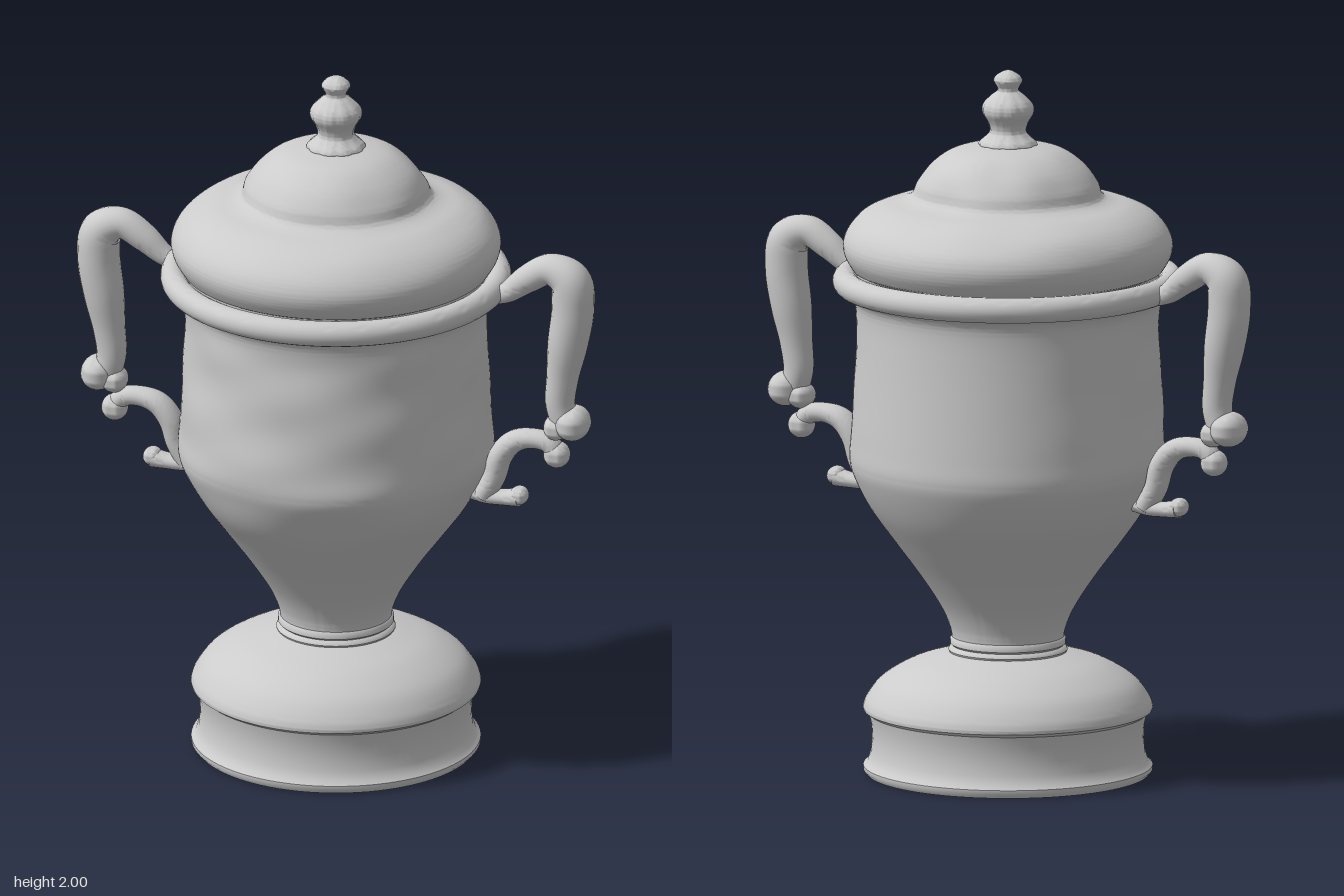
import * as THREE from 'three';
import { toCreasedNormals } from 'three/addons/utils/BufferGeometryUtils.js';

const material = new THREE.MeshStandardMaterial({ color: 0xcccccc });

function addMesh(parent, name, geometry, crease = 0.7) {
  const mesh = new THREE.Mesh(toCreasedNormals(geometry, crease), material);
  mesh.name = name;
  parent.add(mesh);
  return mesh;
}

const vectors = (points) => points.map(([x, y]) => new THREE.Vector2(x, y));
const smooth = (points, steps) => new THREE.SplineCurve(vectors(points)).getPoints(steps);

// Turned part; radial(angle, y, r) returns a factor for the radius
function turned(points, segments, radial) {
  const geometry = new THREE.LatheGeometry(points, segments);
  if (radial) {
    const p = geometry.attributes.position;
    for (let i = 0; i < p.count; i++) {
      const x = p.getX(i), z = p.getZ(i);
      const f = radial(Math.atan2(x, z), p.getY(i), Math.hypot(x, z));
      p.setX(i, x * f);
      p.setZ(i, z * f);
    }
  }
  return geometry;
}

// Soft unevenness of a worn, hand-modelled surface, periodic in the angle
const wobble = (a, y) =>
  Math.sin(3 * a + 9 * y) * Math.sin(15 * y + a) +
  0.6 * Math.sin(7 * a - 13 * y) * Math.cos(23 * y + 2 * a);

// Planar sweep through [x, y, thickness]; width is the z half-axis relative to thickness
function sweep(points, width, steps = 70, sides = 20) {
  const curve = new THREE.CatmullRomCurve3(points.map((p) => new THREE.Vector3(...p)));
  const positions = [], index = [];
  for (let i = 0; i <= steps + 2; i++) {
    const t = THREE.MathUtils.clamp((i - 1) / steps, 0, 1);
    const c = curve.getPoint(t), d = curve.getTangent(t);
    const length = Math.hypot(d.x, d.y);
    const r = i === 0 || i === steps + 2 ? 0 : c.z;
    for (let j = 0; j < sides; j++) {
      const a = (j / sides) * Math.PI * 2;
      const n = (r * Math.cos(a)) / length;
      positions.push(c.x - d.y * n, c.y + d.x * n, r * width * Math.sin(a));
      if (i < steps + 2) {
        const k = (j + 1) % sides, row = i * sides, next = row + sides;
        index.push(row + j, row + k, next + k, row + j, next + k, next + j);
      }
    }
  }
  const geometry = new THREE.BufferGeometry();
  geometry.setAttribute('position', new THREE.Float32BufferAttribute(positions, 3));
  geometry.setIndex(index);
  return geometry;
}

function ball(parent, name, x, y, r, depth) {
  const mesh = addMesh(parent, name, new THREE.SphereGeometry(r, 24, 16), 1.2);
  mesh.position.set(x, y, 0);
  mesh.scale.z = depth;
}

function createHandle() {
  const handle = new THREE.Group();
  // Upper arm, rising from the rim and hanging down
  addMesh(handle, 'handleArm', sweep([
    [0.45, 1.385, 0.022], [0.50, 1.405, 0.03], [0.56, 1.452, 0.04], [0.625, 1.487, 0.045],
    [0.683, 1.46, 0.058], [0.692, 1.38, 0.06], [0.677, 1.27, 0.057],
    [0.662, 1.17, 0.046], [0.655, 1.09, 0.042], [0.67, 1.03, 0.04],
  ], 1.06), 1.2);
  ball(handle, 'handleScrollEnd', 0.692, 1.035, 0.05, 1.35);
  ball(handle, 'handleScrollInner', 0.645, 1.018, 0.037, 1.4);
  // Lower C scroll and the foot against the bowl
  addMesh(handle, 'handleLowerScroll', sweep([
    [0.645, 0.93, 0.028], [0.625, 0.965, 0.028], [0.575, 0.975, 0.028], [0.52, 0.96, 0.032],
    [0.482, 0.915, 0.034], [0.463, 0.85, 0.032], [0.43, 0.79, 0.03],
  ], 1.2), 1.2);
  ball(handle, 'handleLowerCurl', 0.645, 0.935, 0.038, 1.1);
  addMesh(handle, 'handleFoot', sweep([
    [0.535, 0.795, 0.026], [0.49, 0.79, 0.022], [0.44, 0.79, 0.022], [0.38, 0.80, 0.02],
  ], 1.4, 20), 1.2);
  ball(handle, 'handleFootCurl', 0.535, 0.8, 0.027, 1.3);
  return handle;
}

export function createModel() {
  const model = new THREE.Group();
  model.name = 'lidded urn';

  // Pedestal: moulded foot, recessed band and domed top
  addMesh(model, 'pedestal', new THREE.LatheGeometry([
    ...vectors([[0, 0], [0.395, 0], [0.405, 0.012], [0.405, 0.024], [0.393, 0.036],
      [0.384, 0.06], [0.38, 0.1], [0.382, 0.14], [0.39, 0.172], [0.404, 0.182]]),
    ...smooth([[0.406, 0.19], [0.395, 0.218], [0.355, 0.267], [0.28, 0.312],
      [0.2, 0.338], [0.15, 0.35]], 24),
  ], 96));

  // Collar rings between pedestal and bowl
  addMesh(model, 'collar', new THREE.LatheGeometry(vectors([
    [0.14, 0.34], [0.163, 0.343], [0.167, 0.352], [0.163, 0.36], [0.155, 0.364],
    [0.162, 0.37], [0.162, 0.384], [0.154, 0.392], [0.13, 0.4],
  ]), 72), 0.8);

  // Bowl, more uneven at the front
  addMesh(model, 'bowl', turned(smooth([
    [0.155, 0.38], [0.163, 0.42], [0.19, 0.48], [0.245, 0.565], [0.315, 0.66], [0.38, 0.75],
    [0.425, 0.835], [0.442, 0.89], [0.44, 0.96], [0.433, 1.08], [0.427, 1.2], [0.425, 1.3],
    [0.432, 1.345], [0.455, 1.375], [0.46, 1.4],
  ], 90), 128, (a, y) => {
    const zone = THREE.MathUtils.smoothstep(y, 0.45, 0.95) * (1 - THREE.MathUtils.smoothstep(y, 1.25, 1.36));
    return 1 + zone * (0.006 + 0.006 * Math.cos(a)) * wobble(a, y);
  }), 1.2);

  // Rolled rim
  const rim = addMesh(model, 'rim', new THREE.TorusGeometry(0.455, 0.036, 20, 128), 1.2);
  rim.rotation.x = Math.PI / 2;
  rim.position.y = 1.4;

  // Lid: bulging shoulder and a raised, weathered dome
  addMesh(model, 'lid', turned([
    ...vectors([[0, 1.4], [0.42, 1.4], [0.425, 1.43]]),
    ...smooth([[0.435, 1.435], [0.456, 1.472], [0.461, 1.51], [0.444, 1.55], [0.405, 1.588],
      [0.35, 1.615], [0.29, 1.63], [0.262, 1.645], [0.249, 1.68], [0.212, 1.73],
      [0.155, 1.77], [0.08, 1.788], [0, 1.792]], 90),
  ], 128, (a, y, r) => {
    const zone = THREE.MathUtils.smoothstep(y, 1.53, 1.62) * THREE.MathUtils.smoothstep(r, 0.07, 0.2);
    return 1 + zone * (0.018 - 0.008 * Math.cos(a)) * wobble(a, y);
  }), 0.9);

  // Fluted finial
  addMesh(model, 'finial', turned(smooth([
    [0, 1.775], [0.07, 1.778], [0.08, 1.792], [0.064, 1.808], [0.05, 1.825], [0.055, 1.85],
    [0.07, 1.878], [0.068, 1.903], [0.045, 1.928], [0.029, 1.942], [0.034, 1.957],
    [0.04, 1.97], [0.032, 1.984], [0.015, 1.995], [0, 2],
  ], 64), 80, (a) => 0.98 + 0.05 * Math.abs(Math.cos(5 * a))), 1.0);

  // Pair of handles
  const names = ['leftHandle', 'rightHandle'];
  names.forEach((name, i) => {
    const handle = createHandle();
    handle.name = name;
    handle.rotation.y = i * Math.PI;
    model.add(handle);
  });

  return model;
}
